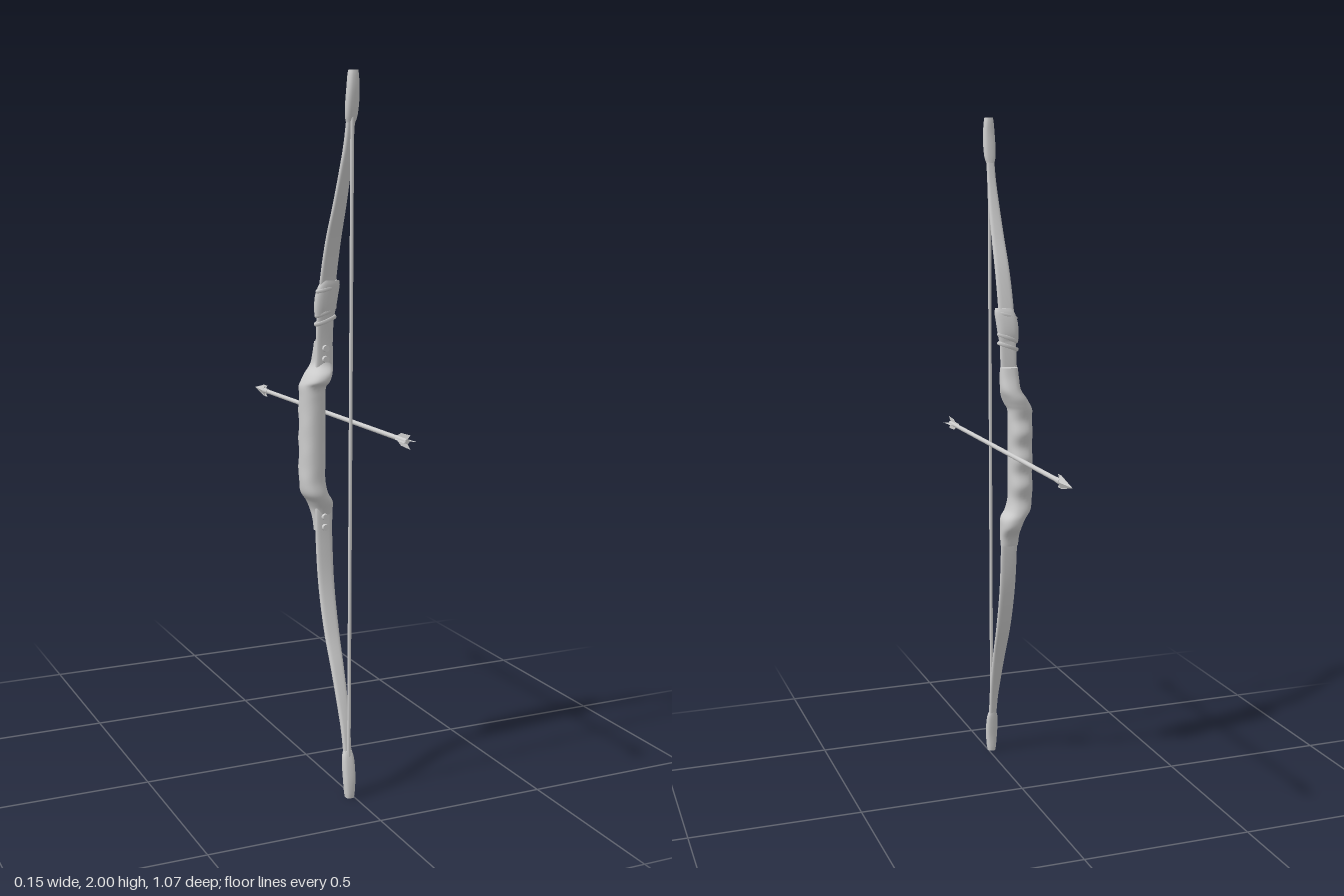
import * as THREE from 'three';

const material = new THREE.MeshStandardMaterial({ color: 0xcccccc });
const thin = new THREE.MeshStandardMaterial({ color: 0xcccccc, side: THREE.DoubleSide });
const BOW_X = -0.011, MID_Y = 1.002;

function add(parent, name, geometry, mat = material) {
  const mesh = new THREE.Mesh(geometry, mat);
  mesh.name = name;
  parent.add(mesh);
  return mesh;
}

// Smooth loft through horizontal cross-sections [y, x, z, halfX, halfZ], lowest first
function loft(sections, steps, power = 0.8, sides = 20) {
  const centre = new THREE.CatmullRomCurve3(sections.map(([y, x, z]) => new THREE.Vector3(x, y, z)));
  const size = new THREE.CatmullRomCurve3(sections.map(([y, , , hx, hz]) => new THREE.Vector3(hx, y, hz)));
  const bend = v => Math.sign(v) * Math.abs(v) ** power;
  const pos = [], index = [];
  const ring = t => {
    const c = centre.getPoint(t), s = size.getPoint(t);
    for (let j = 0; j < sides; j++) {
      const a = j / sides * Math.PI * 2;
      pos.push(c.x + s.x * bend(Math.cos(a)), c.y, c.z + s.z * bend(Math.sin(a)));
    }
    return c;
  };
  for (let i = 0; i <= steps; i++) ring(i / steps);
  for (let i = 0; i < steps; i++) {
    for (let j = 0; j < sides; j++) {
      const a = i * sides + j, b = i * sides + (j + 1) % sides;
      index.push(a, a + sides, b, b, a + sides, b + sides);
    }
  }
  // End caps with their own vertices so the rims stay sharp
  for (const t of [0, 1]) {
    const start = pos.length / 3;
    const c = ring(t);
    pos.push(c.x, c.y, c.z);
    for (let j = 0; j < sides; j++) {
      const a = start + j, b = start + (j + 1) % sides;
      index.push(start + sides, t ? b : a, t ? a : b);
    }
  }
  const g = new THREE.BufferGeometry();
  g.setAttribute('position', new THREE.Float32BufferAttribute(pos, 3));
  g.setIndex(index);
  g.computeVertexNormals();
  return g;
}

// Section from its extents: y, x range, z range
const span = (y, x0, x1, z0, z1) => [y, (x0 + x1) / 2, (z0 + z1) / 2, (x1 - x0) / 2, (z1 - z0) / 2];

function makeGrip() {
  const finger = [];
  // Shallow finger grooves along the side away from the string
  for (let i = 0; i < 7; i++) {
    finger.push(span(0.88 + i * 0.04, -0.074, -0.004, i % 2 ? 0.083 : 0.092, 0.171));
  }
  return loft([
    span(0.735, -0.032, 0.022, 0.112, 0.147),
    span(0.765, -0.034, 0.023, 0.104, 0.15),
    span(0.795, -0.038, 0.023, 0.082, 0.16),
    span(0.82, -0.05, 0.02, 0.079, 0.17),
    span(0.845, -0.068, 0.004, 0.084, 0.175),
    ...finger,
    span(1.15, -0.074, -0.003, 0.087, 0.174),
    span(1.165, -0.068, 0.004, 0.085, 0.187),
    span(1.185, -0.056, 0.013, 0.084, 0.183),
    span(1.21, -0.038, 0.022, 0.09, 0.158),
    span(1.245, -0.034, 0.023, 0.104, 0.15),
    span(1.275, -0.032, 0.022, 0.113, 0.147),
  ], 90, 0.85, 24);
}

// One limb with its nock and fixings, measured upward from the bow's middle
function makeLimb(name, sign) {
  const limb = new THREE.Group();
  limb.name = name;
  const place = sections => {
    const s = sections.map(([y, z, hx, hz]) => [MID_Y + sign * y, BOW_X, z, hx, hz]);
    return sign > 0 ? s : s.reverse();
  };
  add(limb, 'limbBlade', loft(place([
    [0.2, 0.146, 0.025, 0.008], [0.3, 0.151, 0.025, 0.008], [0.42, 0.167, 0.024, 0.008],
    [0.55, 0.204, 0.022, 0.009], [0.65, 0.245, 0.019, 0.009], [0.74, 0.278, 0.016, 0.009],
    [0.81, 0.299, 0.013, 0.009], [0.89, 0.314, 0.011, 0.008],
  ]), 48, 0.6));
  add(limb, 'nock', loft(place([
    [0.865, 0.311, 0.012, 0.01], [0.88, 0.314, 0.016, 0.012], [0.91, 0.319, 0.018, 0.014],
    [0.95, 0.324, 0.017, 0.015], [0.985, 0.325, 0.014, 0.015], [0.998, 0.325, 0.012, 0.014],
  ]), 24, 0.75));
  // Fixing screws beside the grip
  for (const y of [0.225, 0.255]) {
    const screw = add(limb, 'limbScrew', new THREE.CylinderGeometry(0.009, 0.01, 0.014, 16));
    screw.rotation.x = Math.PI / 2;
    screw.position.set(BOW_X, MID_Y + sign * y, 0.158);
  }
  return limb;
}

// Cloth wrap and slanted bands around the upper limb
function makeWrap() {
  const wrap = new THREE.Group();
  wrap.name = 'limbWrap';
  add(wrap, 'wrapCloth', loft([
    [1.35, -0.014, 0.157, 0.029, 0.013], [1.375, -0.013, 0.159, 0.032, 0.016],
    [1.41, -0.01, 0.164, 0.033, 0.016], [1.435, -0.005, 0.169, 0.03, 0.014],
    [1.447, -0.003, 0.172, 0.025, 0.011],
  ], 20, 0.75));
  [[1.335, 0.155, 0.35], [1.36, 0.157, 0.4], [1.425, 0.167, 0.3]].forEach(([y, z, tilt]) => {
    const band = add(wrap, 'wrapBand', new THREE.TorusGeometry(1, 0.13, 10, 32));
    band.geometry.rotateX(Math.PI / 2).scale(0.031, 0.045, 0.014);
    band.rotation.z = tilt;
    band.position.set(BOW_X, y, z);
  });
  return wrap;
}

// Flat blade in the z-y plane
function blade(points) {
  return new THREE.ShapeGeometry(new THREE.Shape(points.map(p => new THREE.Vector2(...p)))).rotateY(-Math.PI / 2);
}

function makeArrow() {
  const arrow = new THREE.Group();
  arrow.name = 'arrow';
  arrow.position.set(0.057, 1.051, 0);
  const shaft = add(arrow, 'arrowShaft', new THREE.CylinderGeometry(0.0065, 0.0065, 0.98, 12));
  shaft.rotation.x = Math.PI / 2;
  shaft.position.z = 0.03;
  // Barbed four-sided head
  const head = add(arrow, 'arrowHead', new THREE.ConeGeometry(1, 0.085, 4).toNonIndexed());
  head.geometry.computeVertexNormals();
  head.geometry.rotateX(-Math.PI / 2).scale(0.008, 0.017, 1);
  head.position.z = -0.4945;
  add(arrow, 'headBarbs', blade([
    [-0.537, 0], [-0.46, 0.018], [-0.432, 0.018], [-0.445, 0.005],
    [-0.445, -0.005], [-0.432, -0.018], [-0.46, -0.018],
  ]), thin);
  const socket = add(arrow, 'headSocket', new THREE.CylinderGeometry(0.0075, 0.0085, 0.03, 12));
  socket.rotation.x = Math.PI / 2;
  socket.position.z = -0.44;
  // Four swept feathers
  for (let i = 0; i < 4; i++) {
    const feather = add(arrow, 'feather', blade([
      [0.46, 0], [0.46, 0.006], [0.485, 0.017], [0.537, 0.019], [0.52, 0.005], [0.52, 0],
    ]), thin);
    feather.rotation.z = i * Math.PI / 2;
  }
  return arrow;
}

export function createModel() {
  const model = new THREE.Group();
  model.name = 'bowAndArrow';
  add(model, 'grip', makeGrip());
  model.add(makeLimb('upperLimb', 1), makeLimb('lowerLimb', -1), makeWrap(), makeArrow());
  const string = add(model, 'bowString', new THREE.CylinderGeometry(0.005, 0.005, 1.78, 10));
  string.position.set(BOW_X, MID_Y, 0.321);
  return model;
}
